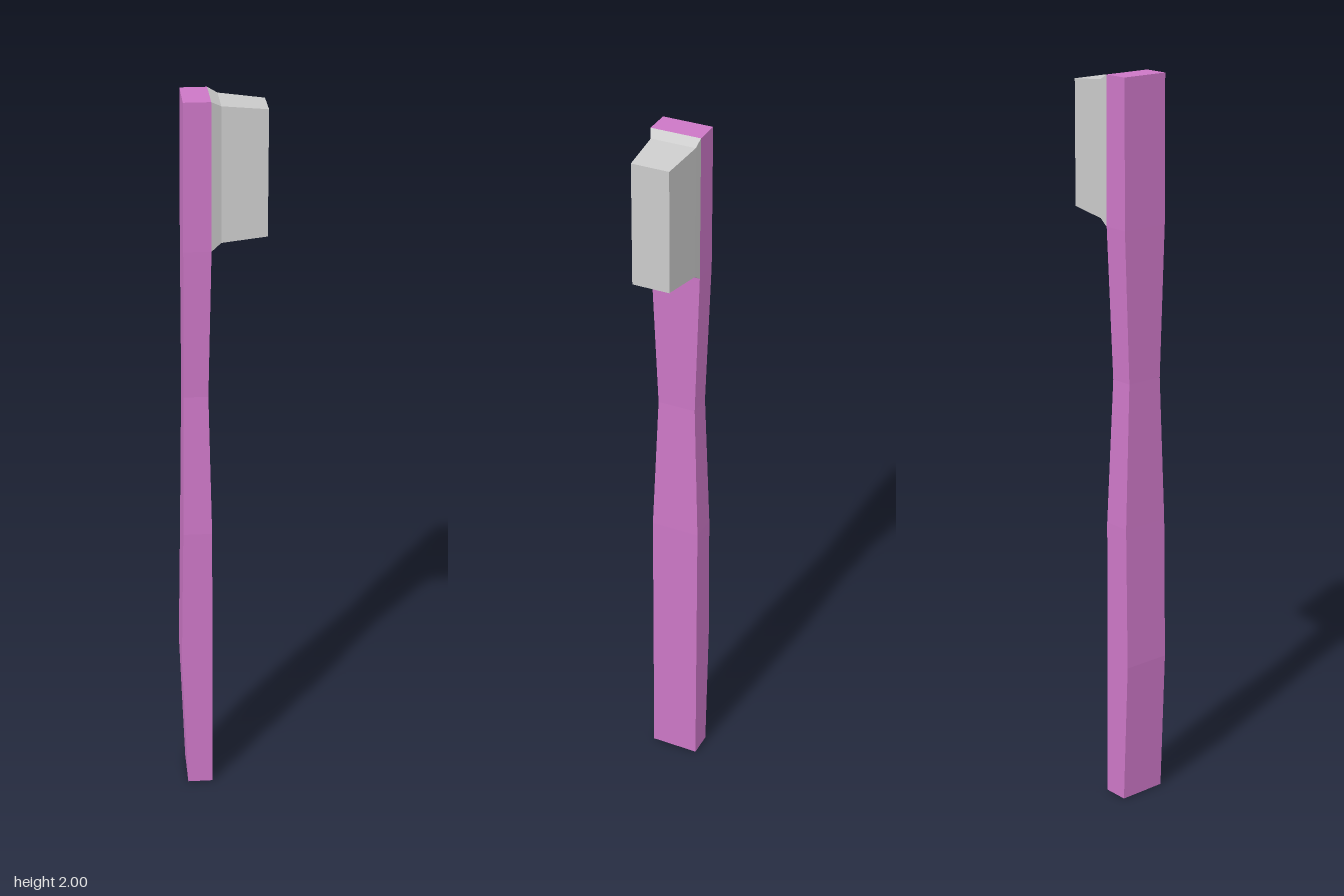
import * as THREE from 'three';

// Lofts a closed solid through four-cornered rings; corners run counter-clockwise
// when seen from the last ring looking back at the first.
function loft(rings) {
  const pos = [];
  const quad = (a, b, c, d) => pos.push(...a, ...b, ...c, ...a, ...c, ...d);
  for (let i = 0; i < rings.length - 1; i++) {
    for (let k = 0; k < 4; k++) {
      const n = (k + 1) % 4;
      quad(rings[i][k], rings[i][n], rings[i + 1][n], rings[i + 1][k]);
    }
  }
  quad(...[...rings[0]].reverse());
  quad(...rings[rings.length - 1]);
  const geo = new THREE.BufferGeometry();
  geo.setAttribute('position', new THREE.Float32BufferAttribute(pos, 3));
  geo.computeVertexNormals();
  return geo;
}

function part(name, rings, color) {
  const material = new THREE.MeshStandardMaterial({ color, flatShading: true });
  const mesh = new THREE.Mesh(loft(rings), material);
  mesh.name = name;
  return mesh;
}

export function createModel() {
  const group = new THREE.Group();
  group.name = 'toothbrush';

  // Handle: sections going up as [y, back x, bristle-side x, half depth]
  const handle = [
    [0, -0.1, -0.03, 0.068],
    [0.4, -0.115, -0.03, 0.068],
    [0.8, -0.108, -0.03, 0.068],
    [1.2, -0.103, -0.038, 0.053],
    [1.61, -0.102, -0.03, 0.068],
    [2, -0.1, -0.03, 0.068],
  ].map(([y, x0, x1, d]) => [[x0, y, d], [x1, y, d], [x1, y, -d], [x0, y, -d]]);
  group.add(part('handle', handle, 0xcc77c6));

  // Bristles: sections going outward as [x, bottom, top, back z, front z]
  const bristles = [
    [-0.03, 1.61, 2, -0.068, 0.068],
    [-0.004, 1.628, 1.985, -0.066, 0.055],
    [0.115, 1.64, 1.973, -0.052, 0.05],
  ].map(([x, y0, y1, z0, z1]) => [[x, y0, z1], [x, y0, z0], [x, y1, z0], [x, y1, z1]]);
  group.add(part('bristles', bristles, 0xcccccc));

  return group;
}
